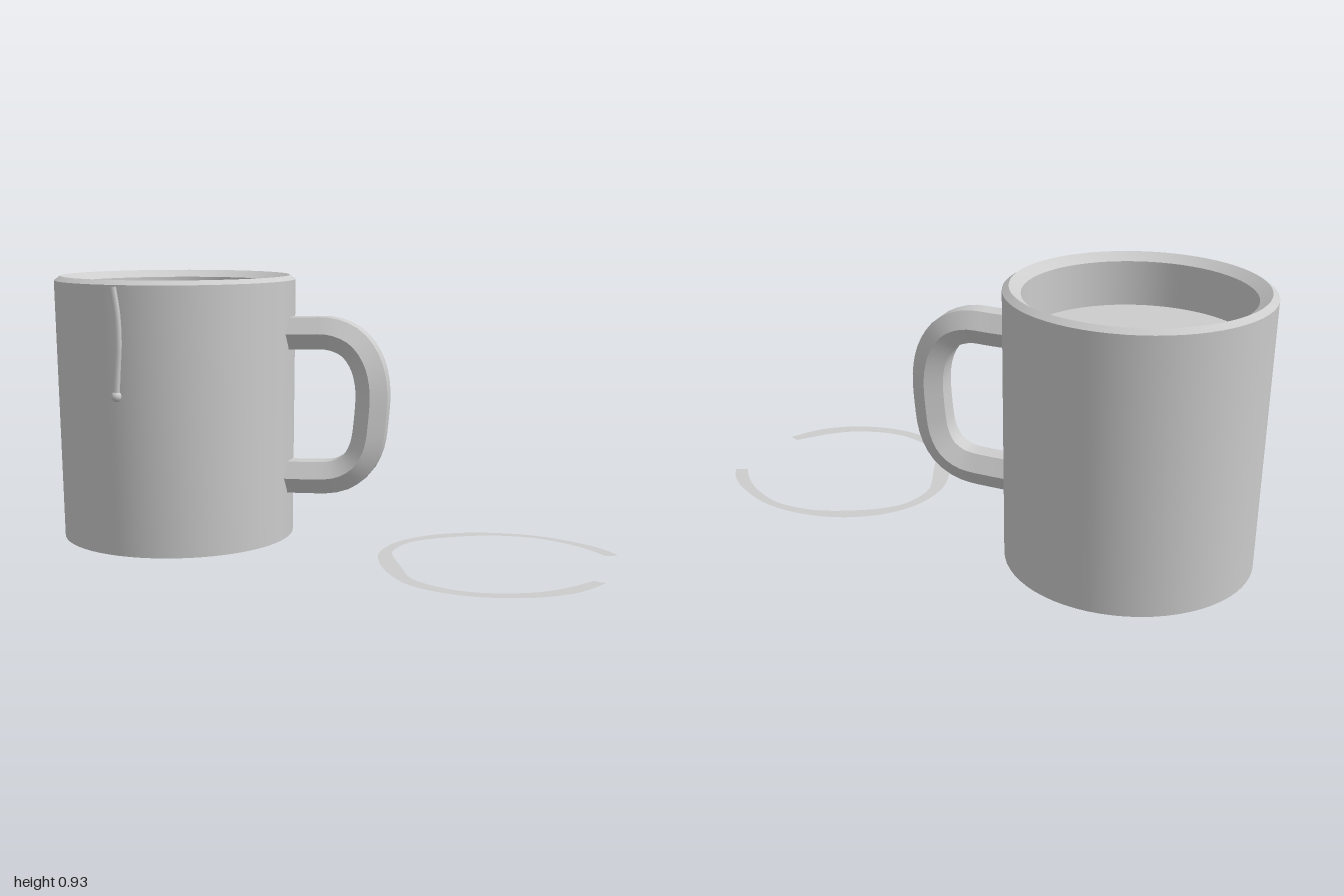
import * as THREE from 'three';
import { toCreasedNormals } from 'three/addons/utils/BufferGeometryUtils.js';

const v2 = ([x, y]) => new THREE.Vector2(x, y);
const v3 = ([x, y, z]) => new THREE.Vector3(x, y, z);

export function createModel() {
  const group = new THREE.Group();
  const grey = new THREE.MeshStandardMaterial({ color: 0xcccccc });
  grey.name = 'plain grey';
  const greySheet = new THREE.MeshStandardMaterial({ color: 0xcccccc, side: THREE.DoubleSide });
  greySheet.name = 'plain grey sheet';

  const add = (name, geometry, material = grey, x = 0, y = 0, z = 0) => {
    const mesh = new THREE.Mesh(geometry, material);
    mesh.name = name;
    mesh.position.set(x, y, z);
    group.add(mesh);
    return mesh;
  };
  const tube = (points, segments, radius, sides) =>
    new THREE.TubeGeometry(new THREE.CatmullRomCurve3(points.map(v3)), segments, radius, sides);

  const cx = -0.573, cz = -0.104;

  // Tapered cup with a ridged rim, hollow inside
  const profile = [
    [0, 0], [0.413, 0], [0.427, 0.915], [0.406, 0.93],
    [0.368, 0.905], [0.368, 0.06], [0, 0.06],
  ].map(v2);
  add('cup', toCreasedNormals(new THREE.LatheGeometry(profile, 64), 0.5), grey, cx, 0, cz);

  // Drink surface
  const drink = new THREE.CircleGeometry(0.368, 64).rotateX(-Math.PI / 2);
  add('drinkSurface', drink, grey, cx, 0.752, cz);

  // Handle with a hexagonal section
  const handlePath = [
    [-0.185, 0.731], [-0.09, 0.732], [0, 0.731], [0.072, 0.70], [0.12, 0.636], [0.142, 0.55],
    [0.138, 0.433], [0.122, 0.334], [0.088, 0.272], [0.04, 0.238], [0, 0.226],
    [-0.09, 0.221], [-0.185, 0.22],
  ].map(([x, y]) => [x, y, 0]);
  add('handle', toCreasedNormals(tube(handlePath, 36, 0.065, 6), 0.6), grey, 0, 0, -0.103);

  // Drip running down the front, ending in a bead
  const dripPath = [
    [-0.636, 0.91, 0.342], [-0.623, 0.818, 0.343], [-0.62, 0.727, 0.344],
    [-0.626, 0.647, 0.342], [-0.633, 0.55, 0.341],
  ];
  add('drip', tube(dripPath, 16, 0.011, 6));
  add('dripEnd', new THREE.CircleGeometry(0.011, 6).rotateX(-Math.PI / 2), grey, -0.636, 0.91, 0.342);
  add('dripBead', new THREE.SphereGeometry(0.018, 10, 6), grey, -0.633, 0.55, 0.341);

  // Broken ring stain lying on the ground, listed as x, z
  const outer = [
    [0.997, -0.06], [0.955, -0.123], [0.885, -0.187], [0.75, -0.262], [0.607, -0.288],
    [0.457, -0.267], [0.324, -0.193], [0.233, -0.075], [0.201, 0.07], [0.222, 0.198],
    [0.281, 0.337], [0.366, 0.449], [0.484, 0.508], [0.612, 0.525], [0.75, 0.497],
    [0.858, 0.433], [0.917, 0.364], [0.96, 0.289],
  ];
  const inner = [
    [0.955, -0.043], [0.906, -0.107], [0.832, -0.176], [0.725, -0.235], [0.628, -0.251],
    [0.511, -0.235], [0.361, -0.16], [0.275, -0.075], [0.243, 0.037], [0.254, 0.112],
    [0.297, 0.225], [0.35, 0.358], [0.425, 0.428], [0.521, 0.471], [0.628, 0.476],
    [0.751, 0.439], [0.842, 0.369], [0.922, 0.273],
  ];
  const flip = ([x, z]) => new THREE.Vector2(x, -z);
  const shape = new THREE.Shape([
    ...new THREE.SplineCurve(outer.map(flip)).getPoints(68),
    ...new THREE.SplineCurve(inner.map(flip)).getPoints(68).reverse(),
  ]);
  add('ringStain', new THREE.ShapeGeometry(shape).rotateX(-Math.PI / 2), greySheet, 0, 0.002, 0);

  return group;
}
